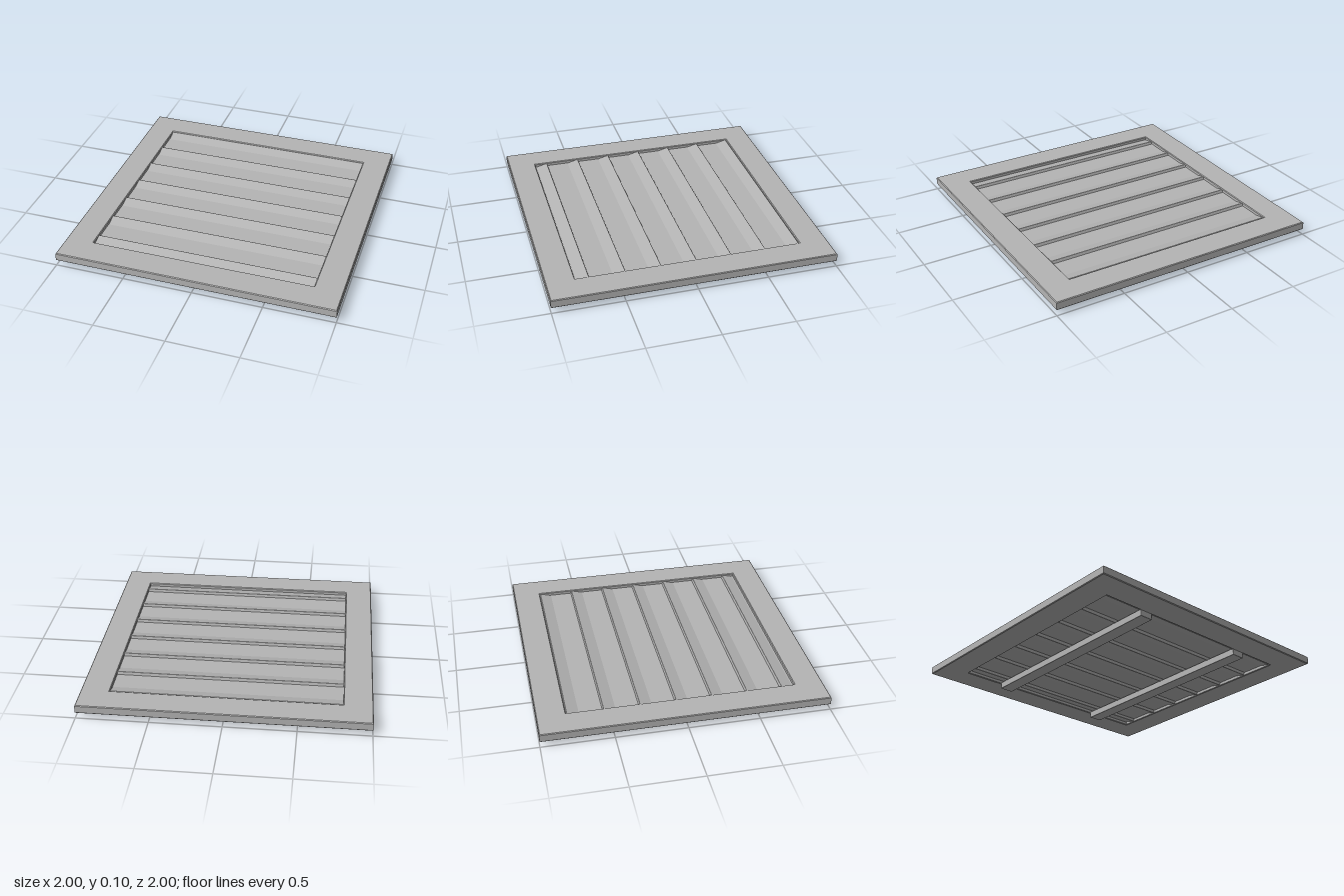
import * as THREE from 'three';
import { RoundedBoxGeometry } from 'three/addons/geometries/RoundedBoxGeometry.js';

export function createModel() {
  const group = new THREE.Group();
  const metal = new THREE.MeshStandardMaterial({ color: 0xb4b4b4 });
  metal.name = 'grey metal';

  const add = (name, geometry, x, y, z) => {
    const mesh = new THREE.Mesh(geometry, metal);
    mesh.name = name;
    mesh.position.set(x, y, z);
    group.add(mesh);
    return mesh;
  };

  const square = (path, h) => {
    path.moveTo(-h, -h);
    path.lineTo(h, -h);
    path.lineTo(h, h);
    path.lineTo(-h, h);
    path.closePath();
    return path;
  };

  // Square frame with a slightly bevelled edge
  const outline = square(new THREE.Shape(), 1);
  outline.holes.push(square(new THREE.Path(), 0.8));
  const bevel = 0.005;
  const frame = new THREE.ExtrudeGeometry(outline, {
    depth: 0.06 - 2 * bevel, bevelEnabled: true, bevelSegments: 1,
    bevelSize: bevel, bevelThickness: bevel, bevelOffset: -bevel,
  });
  frame.rotateX(-Math.PI / 2);
  add('frame', frame, 0, 0.04 + bevel, 0);

  // Thin panel closing the opening between the slats
  add('backPanel', new THREE.BoxGeometry(1.61, 0.01, 1.61), 0, 0.07, 0);

  // Tilted louvre slats, rear edge raised
  const slat = new RoundedBoxGeometry(1.6, 0.03, 0.1, 1, 0.004);
  for (let i = -3; i <= 3; i++) {
    add('slat', slat, 0, 0.07, i * 0.25).rotation.x = THREE.MathUtils.degToRad(15);
  }

  // Two support bars underneath
  const bar = new RoundedBoxGeometry(0.1, 0.05, 1.6, 1, 0.004);
  for (const side of [-1, 1]) add('supportBar', bar, side * 0.45, 0.025, 0);

  return group;
}
